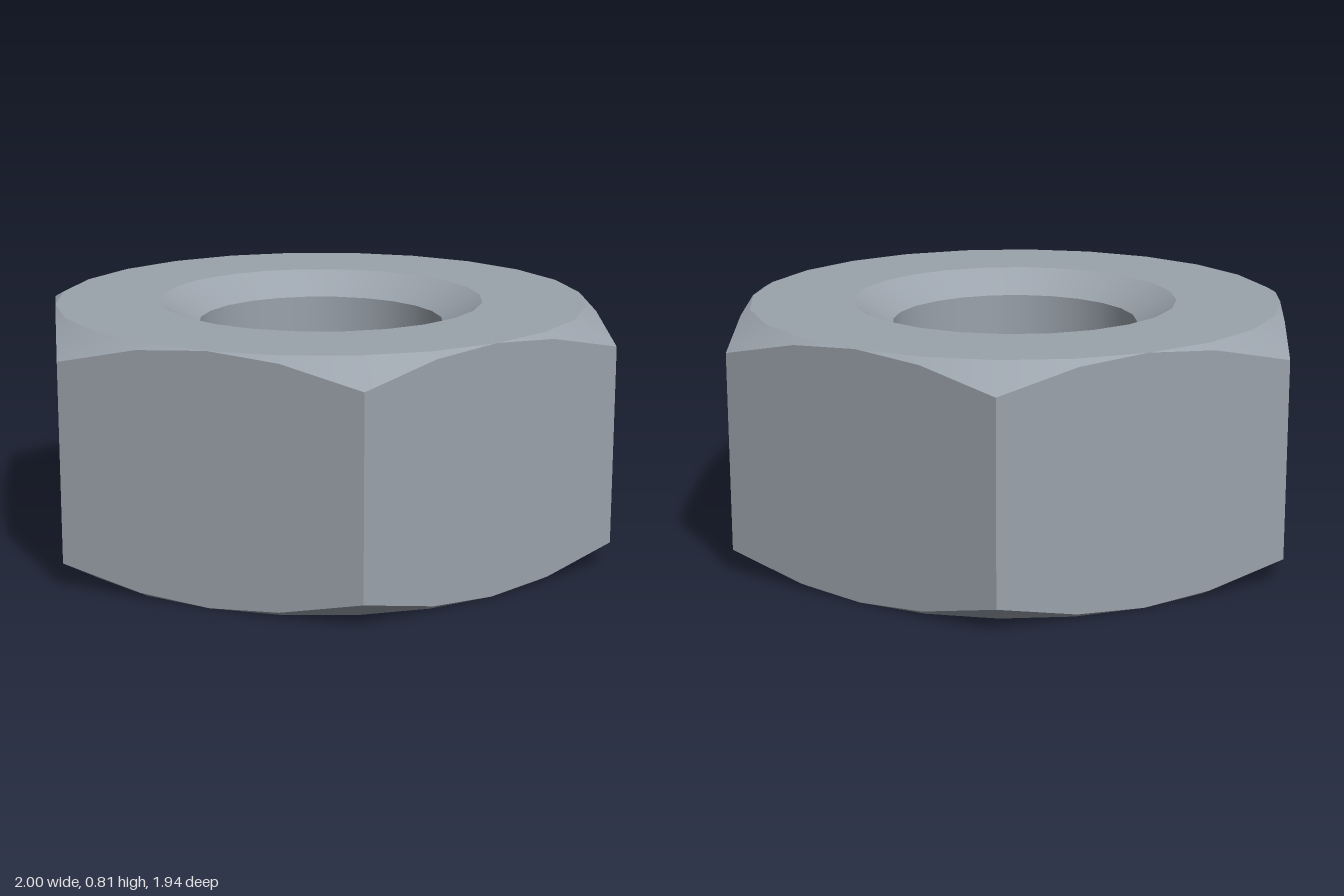
import * as THREE from 'three';

const SEG = 24;               // four steps per hexagon side
const START = 0.209;          // turn of the first corner
const H = 0.81;               // height
const AP = 0.884;             // centre to flat
const BORE = 0.41, RIM = 0.54;
const SLOPE = Math.tan(Math.PI / 6);
const SINK = (RIM - BORE) * SLOPE;

// Radius of the hexagon outline at step k (corners where k % 4 is 0)
const hexR = (k) => AP / Math.cos(((k % 4) - 2) * Math.PI / 12);
const drop = (k) => (hexR(k) - AP) * SLOPE;

// A ring maps step k to [radius, height]
const circle = (r, y) => () => [r, y];
const hexLow = (k) => [hexR(k), drop(k)];
const hexHigh = (k) => [hexR(k), H - drop(k)];

// Surface between two rings; normal is [radial, up], or null for flat facets
function band(name, from, to, normal, material) {
  const pos = [], nor = [];
  const put = (ring, k) => {
    const t = START + (k / SEG) * Math.PI * 2;
    const [r, y] = ring(k);
    pos.push(r * Math.cos(t), y, r * Math.sin(t));
    if (normal) {
      const l = Math.hypot(normal[0], normal[1]);
      nor.push(normal[0] / l * Math.cos(t), normal[1] / l, normal[0] / l * Math.sin(t));
    }
  };
  for (let k = 0; k < SEG; k++) {
    put(from, k); put(to, k); put(from, k + 1);
    put(to, k); put(to, k + 1); put(from, k + 1);
  }
  const g = new THREE.BufferGeometry();
  g.setAttribute('position', new THREE.Float32BufferAttribute(pos, 3));
  if (normal) g.setAttribute('normal', new THREE.Float32BufferAttribute(nor, 3));
  else g.computeVertexNormals();
  const mesh = new THREE.Mesh(g, material);
  mesh.name = name;
  return mesh;
}

export function createModel() {
  const steel = new THREE.MeshStandardMaterial({ color: 0x9aa2ab });
  steel.name = 'steel';
  const group = new THREE.Group();
  group.name = 'hexNut';

  // Around the cross-section: up the outside, across the top, down the bore, out below
  group.add(
    band('hexSides', hexLow, hexHigh, null, steel),
    band('topChamfer', hexHigh, circle(AP, H), [SLOPE, 1], steel),
    band('topFace', circle(AP, H), circle(RIM, H), [0, 1], steel),
    band('topCountersink', circle(RIM, H), circle(BORE, H - SINK), [-SLOPE, 1], steel),
    band('boreWall', circle(BORE, H - SINK), circle(BORE, SINK), [-1, 0], steel),
    band('bottomCountersink', circle(BORE, SINK), circle(RIM, 0), [-SLOPE, -1], steel),
    band('bottomFace', circle(RIM, 0), circle(AP, 0), [0, -1], steel),
    band('bottomChamfer', circle(AP, 0), hexLow, [SLOPE, -1], steel),
  );
  return group;
}
